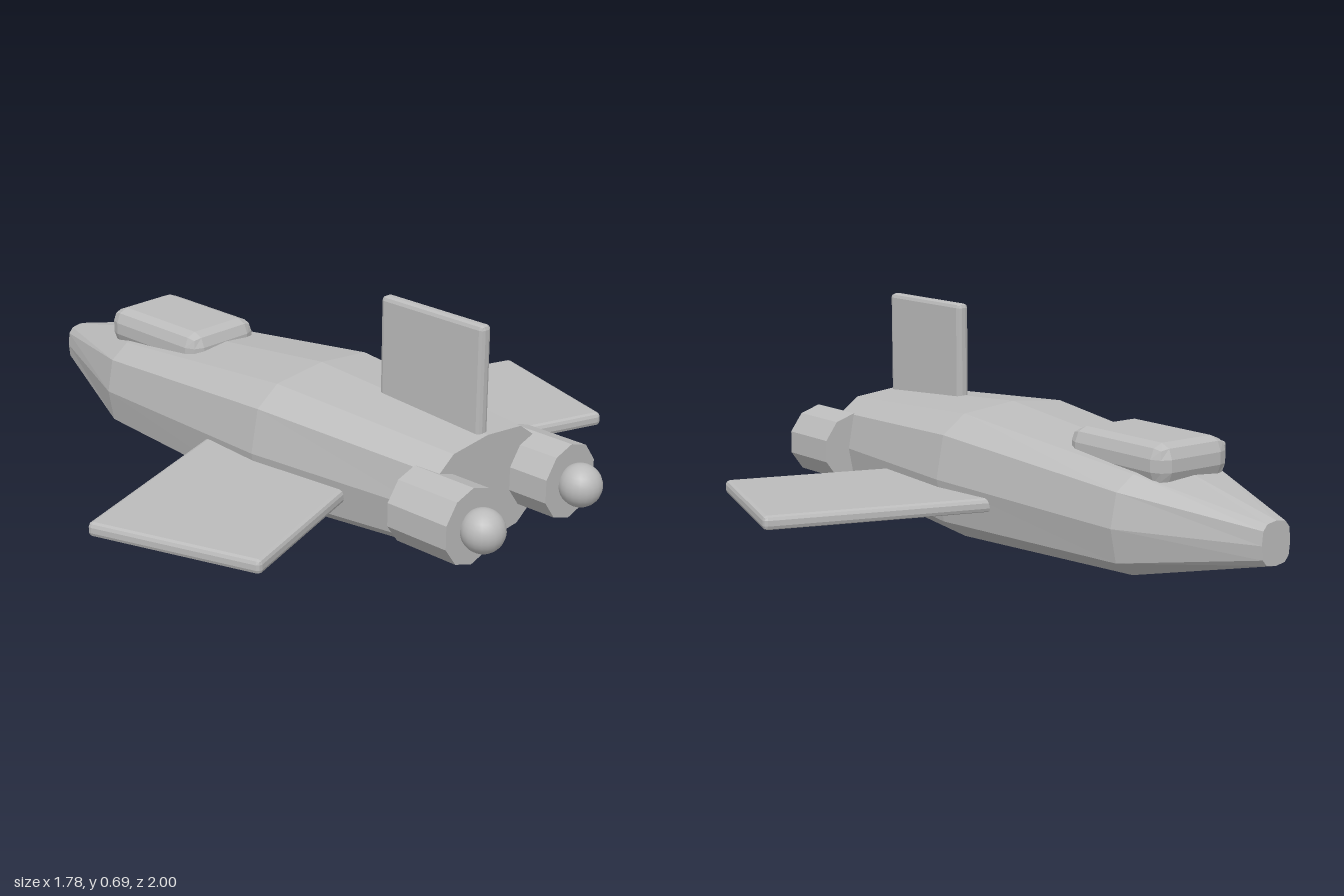
import * as THREE from 'three';
import { RoundedBoxGeometry } from 'three/addons/geometries/RoundedBoxGeometry.js';

const SIDES = 12;

// One squarish oval ring of hull points at depth z
function ring([z, halfWidth, centreY, halfHeight]) {
  const soft = (v) => Math.sign(v) * Math.pow(Math.abs(v) < 1e-6 ? 0 : Math.abs(v), 0.65);
  return Array.from({ length: SIDES }, (_, i) => {
    const a = (i / SIDES) * Math.PI * 2;
    return [halfWidth * soft(Math.cos(a)), centreY + halfHeight * soft(Math.sin(a)), z];
  });
}

// Skin the rings and close both ends
function hullGeometry(sections) {
  const rings = sections.map(ring);
  const last = rings.length - 1;
  const points = rings.flat();
  const nose = points.push([0, sections[0][2], sections[0][0]]) - 1;
  const tail = points.push([0, sections[last][2], sections[last][0]]) - 1;
  const index = [];
  for (let i = 0; i < SIDES; i++) {
    const j = (i + 1) % SIDES;
    for (let s = 0; s < last; s++) {
      const a = s * SIDES + i, b = s * SIDES + j;
      index.push(a, b, b + SIDES, a, b + SIDES, a + SIDES);
    }
    index.push(nose, j, i, tail, last * SIDES + i, last * SIDES + j);
  }
  const g = new THREE.BufferGeometry();
  g.setAttribute('position', new THREE.Float32BufferAttribute(points.flat(), 3));
  g.setIndex(index);
  const flat = g.toNonIndexed();
  flat.computeVertexNormals();
  return flat;
}

// Box with bevelled edges and flat facets
function bevelBox(w, h, d, bevel) {
  const g = new RoundedBoxGeometry(w, h, d, 1, bevel);
  g.computeVertexNormals();
  return g;
}

export function createModel() {
  const model = new THREE.Group();
  model.name = 'spacecraft';
  const grey = new THREE.MeshStandardMaterial({ color: 0xbbbbbb });
  grey.name = 'light grey';

  const add = (name, geometry, x, y, z) => {
    const mesh = new THREE.Mesh(geometry, grey);
    mesh.name = name;
    mesh.position.set(x, y, z);
    model.add(mesh);
    return mesh;
  };

  // Hull: z, half width, centre height, half height
  add('hull', hullGeometry([
    [-1.0, 0.053, 0.192, 0.062],
    [-0.59, 0.225, 0.187, 0.157],
    [0.13, 0.29, 0.213, 0.207],
    [0.77, 0.224, 0.213, 0.164],
  ]), 0, 0, 0);

  // Canopy and tail fin
  add('canopy', bevelBox(0.266, 0.12, 0.404, 0.042), 0, 0.36, -0.487);
  add('tailFin', bevelBox(0.04, 0.39, 0.375, 0.013), 0, 0.497, 0.567);

  // Wings: swept slabs placed by the middle of their tips
  const sweep = 0.322, span = 0.74;
  const wing = bevelBox(span, 0.042, 0.53, 0.013);

  // Engines: ten-sided pods with a round glow at the back
  const pod = new THREE.CylinderGeometry(0.1125, 0.1125, 0.21, 10)
    .rotateX(Math.PI / 2).toNonIndexed();
  pod.computeVertexNormals();
  const ball = new THREE.SphereGeometry(0.063, 20, 14);

  for (const [side, label] of [[1, 'left'], [-1, 'right']]) {
    const w = add(label + 'Wing', wing,
      side * (0.812 - (span / 2) * Math.cos(sweep)), 0.169, 0.369 - (span / 2) * Math.sin(sweep));
    w.rotation.y = -side * sweep;
    add(label + 'Engine', pod, side * 0.21, 0.213, 0.795);
    add(label + 'Exhaust', ball, side * 0.21, 0.213, 0.937);
  }
  return model;
}
